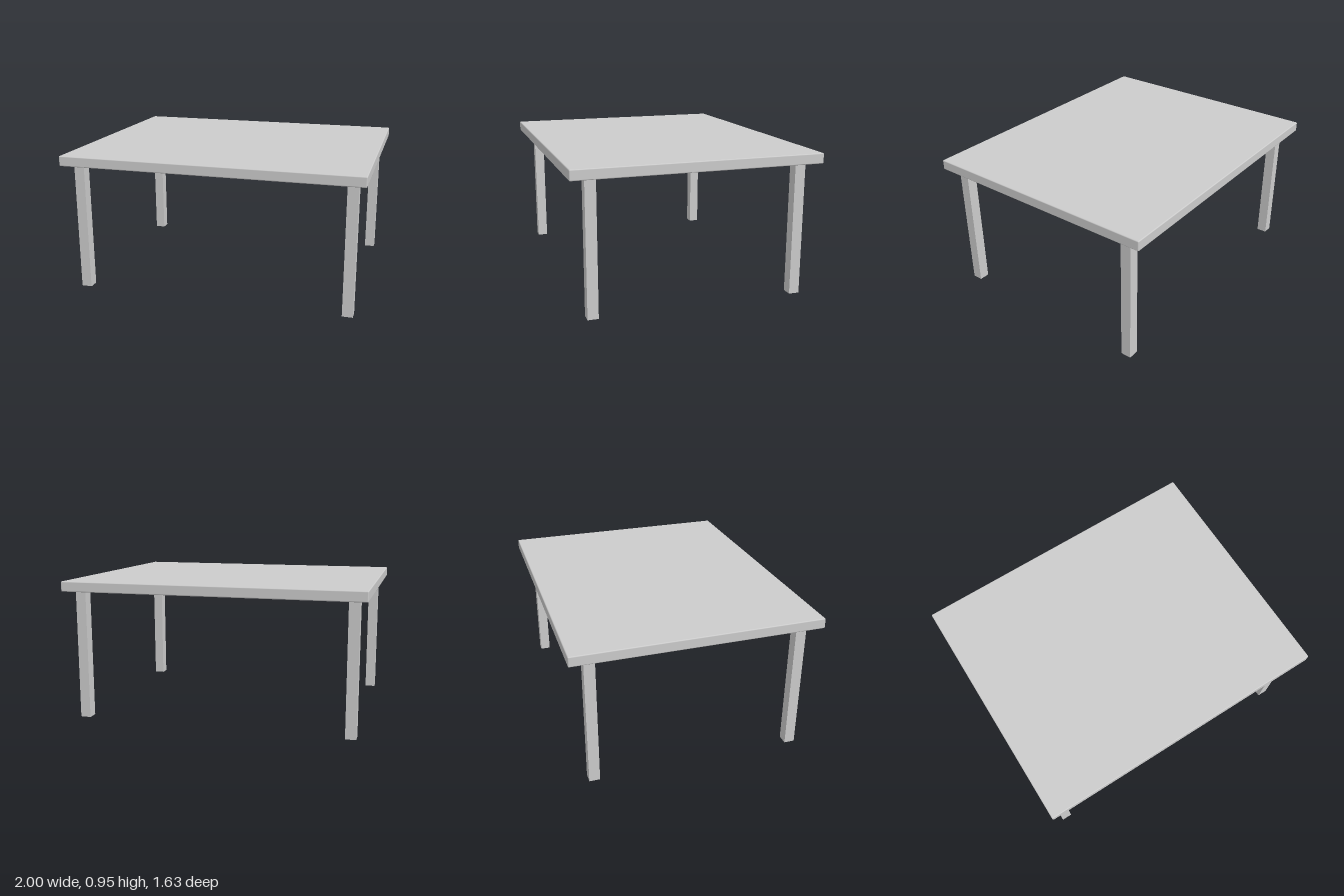
import * as THREE from 'three';
import { RoundedBoxGeometry } from 'three/addons/geometries/RoundedBoxGeometry.js';

export function createModel() {
  const model = new THREE.Group();
  model.name = 'table';
  const material = new THREE.MeshStandardMaterial({ color: 0xcccccc });

  const legHeight = 0.878, legWidth = 0.07, topThickness = 0.068;

  // Table top with slightly eased edges
  const top = new THREE.Mesh(new RoundedBoxGeometry(2, topThickness, 1.63, 2, 0.007), material);
  top.name = 'tableTop';
  top.position.y = legHeight + topThickness / 2;
  model.add(top);

  // Four square legs, set in from the corners
  const legGeometry = new THREE.BoxGeometry(legWidth, legHeight, legWidth);
  for (const [sideName, x] of [['Left', 0.91], ['Right', -0.91]]) {
    for (const [endName, z] of [['front', 0.682], ['back', -0.682]]) {
      const leg = new THREE.Mesh(legGeometry, material);
      leg.name = `${endName}${sideName}Leg`;
      leg.position.set(x, legHeight / 2, z);
      model.add(leg);
    }
  }
  return model;
}
